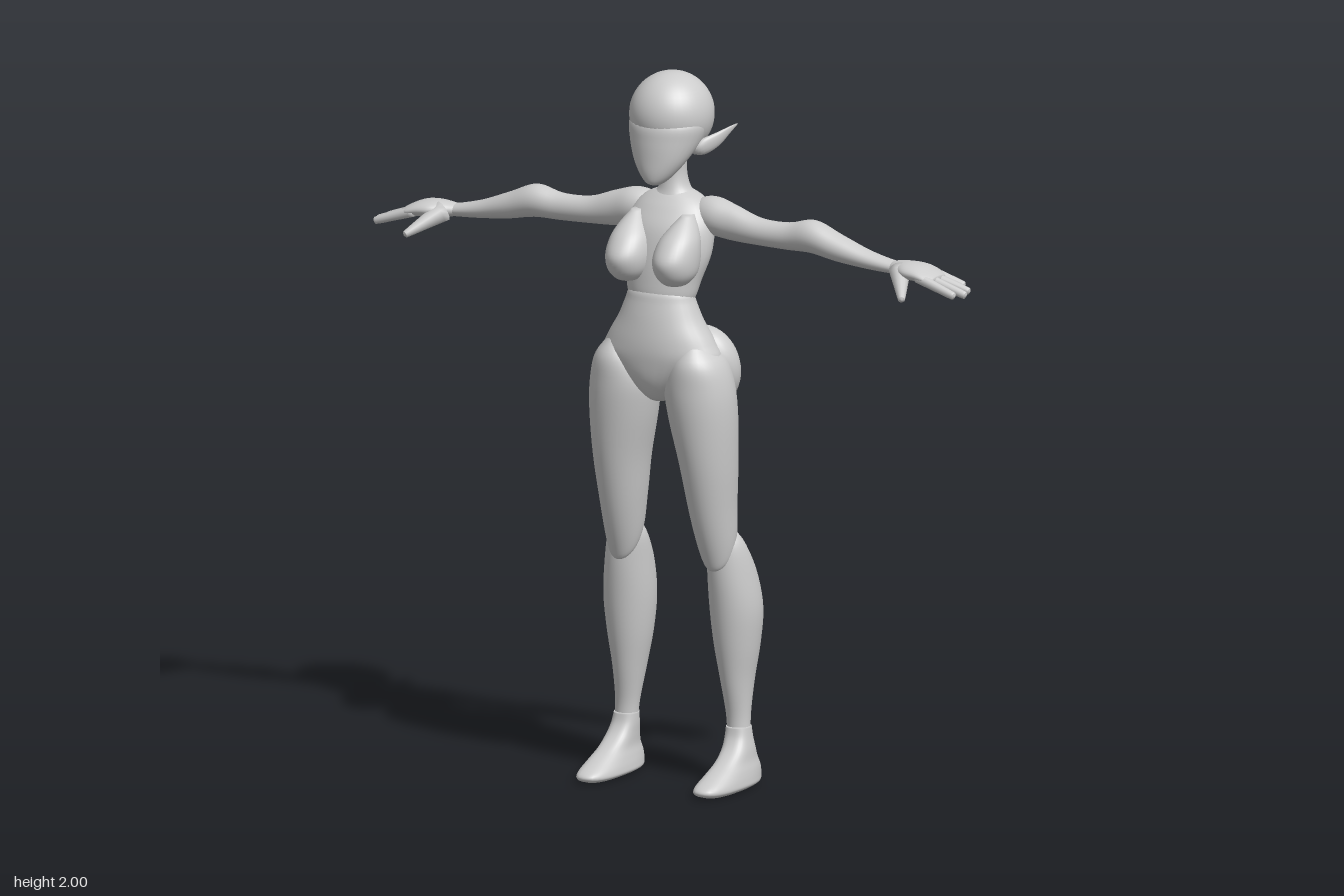
import * as THREE from 'three';

const grey = new THREE.MeshStandardMaterial({ color: 0xcccccc });
grey.name = 'mannequin grey';

// Catmull-Rom interpolation between section rows
function sample(rows, t) {
  const i = Math.min(Math.floor(t), rows.length - 2), f = t - i;
  const at = k => rows[Math.max(0, Math.min(rows.length - 1, k))];
  const [a, b, c, d] = [at(i - 1), at(i), at(i + 1), at(i + 2)];
  return b.map((_, n) => {
    const m0 = (c[n] - a[n]) / 2, m1 = (d[n] - b[n]) / 2;
    return (2 * f ** 3 - 3 * f ** 2 + 1) * b[n] + (f ** 3 - 2 * f ** 2 + f) * m0
      + (3 * f ** 2 - 2 * f ** 3) * c[n] + (f ** 3 - f ** 2) * m1;
  });
}

// Closed smooth body through elliptical sections; power below 1 squares them off.
// axis 'y': rows are [y, x0, x1, z0, z1, tilt]; axis 'x': rows are [x, y0, y1, z0, z1]
function loft(rows, axis = 'y', sides = 32, steps = 5, power = 1) {
  const pos = [], idx = [], n = (rows.length - 1) * steps;
  const square = v => Math.sign(v) * Math.abs(v) ** power;
  const put = (row, a, r) => {
    const [w, p0, p1, q0, q1, tilt = 0] = row;
    const c = square(Math.cos(a)) * r / 2, s = square(Math.sin(a)) * r / 2;
    if (axis === 'y') {
      const dz = c * (q1 - q0);
      pos.push((p0 + p1) / 2 + s * (p1 - p0), w + tilt * dz, (q0 + q1) / 2 + dz);
    } else {
      pos.push(w, (p0 + p1) / 2 + c * (p1 - p0), (q0 + q1) / 2 + s * (q1 - q0));
    }
  };
  for (let i = 0; i <= n; i++) {
    const row = sample(rows, i / steps);
    for (let j = 0; j < sides; j++) put(row, j / sides * Math.PI * 2, 1);
  }
  put(rows[0], 0, 0);
  put(rows[rows.length - 1], 0, 0);
  const first = (n + 1) * sides, last = first + 1;
  for (let j = 0; j < sides; j++) {
    const k = (j + 1) % sides;
    for (let i = 0; i < n; i++) {
      const a = i * sides + j, b = i * sides + k;
      idx.push(a, b, a + sides, b, b + sides, a + sides);
    }
    idx.push(first, k, j, last, n * sides + j, n * sides + k);
  }
  const g = new THREE.BufferGeometry();
  g.setAttribute('position', new THREE.Float32BufferAttribute(pos, 3));
  g.setIndex(idx);
  g.computeVertexNormals();
  return g;
}

// Tapered round-ended digit between two points
function digit(from, to, r0, r1) {
  const a = new THREE.Vector3(...from), b = new THREE.Vector3(...to);
  const len = a.distanceTo(b);
  const rows = [[0, r0], [len * 0.45, (r0 + r1) / 2], [len - r1, r1], [len - r1 * 0.3, r1 * 0.7], [len, r1 * 0.1]]
    .map(([y, r]) => [y, -r, r, -r, r]);
  const g = loft(rows, 'y', 12, 3);
  const dir = b.sub(a).normalize();
  g.applyQuaternion(new THREE.Quaternion().setFromUnitVectors(new THREE.Vector3(0, 1, 0), dir));
  return g.translate(...from);
}

// Mirror across x = 0 and restore the face order
function mirrored(geometry) {
  const g = geometry.clone().scale(-1, 1, 1), ix = g.index.array;
  for (let i = 0; i < ix.length; i += 3) [ix[i], ix[i + 1]] = [ix[i + 1], ix[i]];
  g.computeVertexNormals();
  return g;
}

export function createModel() {
  const model = new THREE.Group();
  model.name = 'mannequin';
  const add = (name, geometry) => {
    const mesh = new THREE.Mesh(geometry, grey);
    mesh.name = name;
    model.add(mesh);
  };
  const pair = (name, geometry) => {
    add('left' + name, geometry);
    add('right' + name, mirrored(geometry));
  };
  const centred = rows => loft(rows.map(([y, w, z0, z1]) => [y, -w, w, z0, z1]));

  // Head and neck
  const skull = new THREE.SphereGeometry(1, 40, 28);
  skull.scale(0.116, 0.118, 0.122).translate(0, 1.882, -0.02);
  add('skull', skull);
  add('face', centred([
    [1.697, 0.008, 0.06, 0.08], [1.705, 0.026, 0.04, 0.098], [1.73, 0.052, 0.01, 0.105],
    [1.77, 0.08, -0.03, 0.106], [1.82, 0.103, -0.09, 0.105], [1.865, 0.111, -0.11, 0.099],
    [1.9, 0.09, -0.1, 0.07],
  ]));
  add('neck', centred([
    [1.6, 0.1, -0.09, 0.03], [1.64, 0.08, -0.09, 0.02], [1.67, 0.047, -0.08, 0.008],
    [1.71, 0.035, -0.07, 0], [1.76, 0.036, -0.068, 0], [1.82, 0.04, -0.07, 0],
  ]));
  pair('Ear', loft([
    [0.08, 1.775, 1.815, -0.04, 0.01], [0.105, 1.777, 1.825, -0.045, 0.002],
    [0.13, 1.797, 1.838, -0.067, -0.035], [0.15, 1.83, 1.85, -0.085, -0.07],
    [0.162, 1.852, 1.856, -0.1, -0.097],
  ], 'x', 16));

  // Torso
  add('chest', centred([
    [1.33, 0.07, -0.015, 0.08], [1.38, 0.098, -0.035, 0.1], [1.43, 0.112, -0.055, 0.1],
    [1.5, 0.132, -0.082, 0.092], [1.57, 0.132, -0.098, 0.075], [1.62, 0.115, -0.102, 0.045],
    [1.65, 0.085, -0.093, 0.02], [1.67, 0.04, -0.075, 0],
  ]));
  pair('Breast', loft([
    [1.424, 0.066, 0.084, 0.07, 0.095], [1.433, 0.042, 0.108, 0.045, 0.128],
    [1.46, 0.021, 0.129, 0.015, 0.155], [1.5, 0.014, 0.135, 0, 0.165],
    [1.545, 0.021, 0.131, 0, 0.138], [1.58, 0.04, 0.117, 0, 0.1], [1.615, 0.065, 0.095, 0, 0.05],
  ]));
  add('pelvis', centred([
    [1.085, 0.012, 0, 0.05], [1.1, 0.04, -0.04, 0.088], [1.15, 0.105, -0.06, 0.117],
    [1.21, 0.178, -0.065, 0.128], [1.26, 0.163, -0.06, 0.129], [1.32, 0.127, -0.045, 0.121],
    [1.37, 0.105, -0.033, 0.11], [1.4, 0.092, -0.025, 0.101], [1.425, 0.05, 0, 0.075],
  ]));
  const seat = new THREE.SphereGeometry(1, 32, 24);
  seat.scale(0.102, 0.121, 0.076).rotateX(0.22).translate(0.098, 1.178, -0.037);
  pair('Buttock', seat);

  // Legs
  pair('Thigh', loft([
    [0.65, 0.135, 0.165, -0.03, 0, -1.1], [0.656, 0.112, 0.188, -0.055, 0.016, -1.1],
    [0.7, 0.094, 0.2, -0.072, 0.035, -0.8], [0.8, 0.077, 0.206, -0.076, 0.073, -0.3],
    [0.92, 0.059, 0.215, -0.077, 0.105, 0], [1.05, 0.031, 0.22, -0.076, 0.124, 0],
    [1.14, 0.022, 0.214, -0.07, 0.13, 0], [1.21, 0.05, 0.193, -0.055, 0.125, 0],
    [1.26, 0.09, 0.15, -0.02, 0.09, 0],
  ]));
  pair('Calf', loft([
    [0.13, 0.147, 0.213, -0.11, -0.044], [0.2, 0.142, 0.21, -0.115, -0.046],
    [0.3, 0.125, 0.217, -0.137, -0.03], [0.4, 0.107, 0.232, -0.155, -0.014],
    [0.5, 0.097, 0.24, -0.162, -0.002], [0.6, 0.097, 0.229, -0.143, 0.006],
    [0.68, 0.102, 0.212, -0.1, 0.004], [0.715, 0.12, 0.192, -0.075, -0.01],
    [0.73, 0.14, 0.17, -0.06, -0.04],
  ]));
  pair('Foot', loft([
    [0.004, 0.15, 0.225, -0.125, 0.115], [0.014, 0.133, 0.238, -0.147, 0.142],
    [0.03, 0.133, 0.238, -0.152, 0.138], [0.055, 0.139, 0.233, -0.149, 0.085],
    [0.08, 0.145, 0.226, -0.136, 0.033], [0.11, 0.145, 0.222, -0.123, -0.012],
    [0.14, 0.144, 0.216, -0.115, -0.036], [0.17, 0.145, 0.211, -0.112, -0.045],
  ], 'y', 32, 5, 0.8));

  // Arms
  pair('Arm', loft([
    [0.07, 1.58, 1.63, -0.07, -0.02], [0.085, 1.555, 1.65, -0.09, 0], [0.13, 1.548, 1.656, -0.092, 0.01],
    [0.19, 1.541, 1.64, -0.08, 0.004], [0.27, 1.538, 1.614, -0.073, 0], [0.36, 1.536, 1.612, -0.071, 0],
    [0.44, 1.536, 1.628, -0.08, 0.01], [0.52, 1.522, 1.598, -0.077, 0.006], [0.61, 1.512, 1.564, -0.07, -0.005],
    [0.69, 1.507, 1.544, -0.066, -0.013], [0.73, 1.507, 1.54, -0.065, -0.015],
  ], 'x'));
  pair('Palm', loft([
    [0.685, 1.51, 1.54, -0.06, -0.018], [0.71, 1.505, 1.546, -0.068, -0.004],
    [0.75, 1.502, 1.55, -0.08, 0.024], [0.79, 1.5, 1.546, -0.086, 0.029],
    [0.825, 1.498, 1.532, -0.082, 0.027], [0.845, 1.505, 1.52, -0.06, 0.01],
  ], 'x'));
  const tips = [[0.895, -0.083], [0.925, -0.057], [0.935, -0.02], [0.922, 0.02]];
  tips.forEach(([x, z], i) => {
    pair('Finger' + (i + 1), digit([0.8, 1.518, -0.068 + i * 0.027], [x, 1.475 + (0.935 - x) * 0.3, z], 0.015, 0.011));
  });
  pair('Thumb', digit([0.725, 1.522, -0.018], [0.79, 1.466, 0.084], 0.03, 0.011));

  return model;
}
